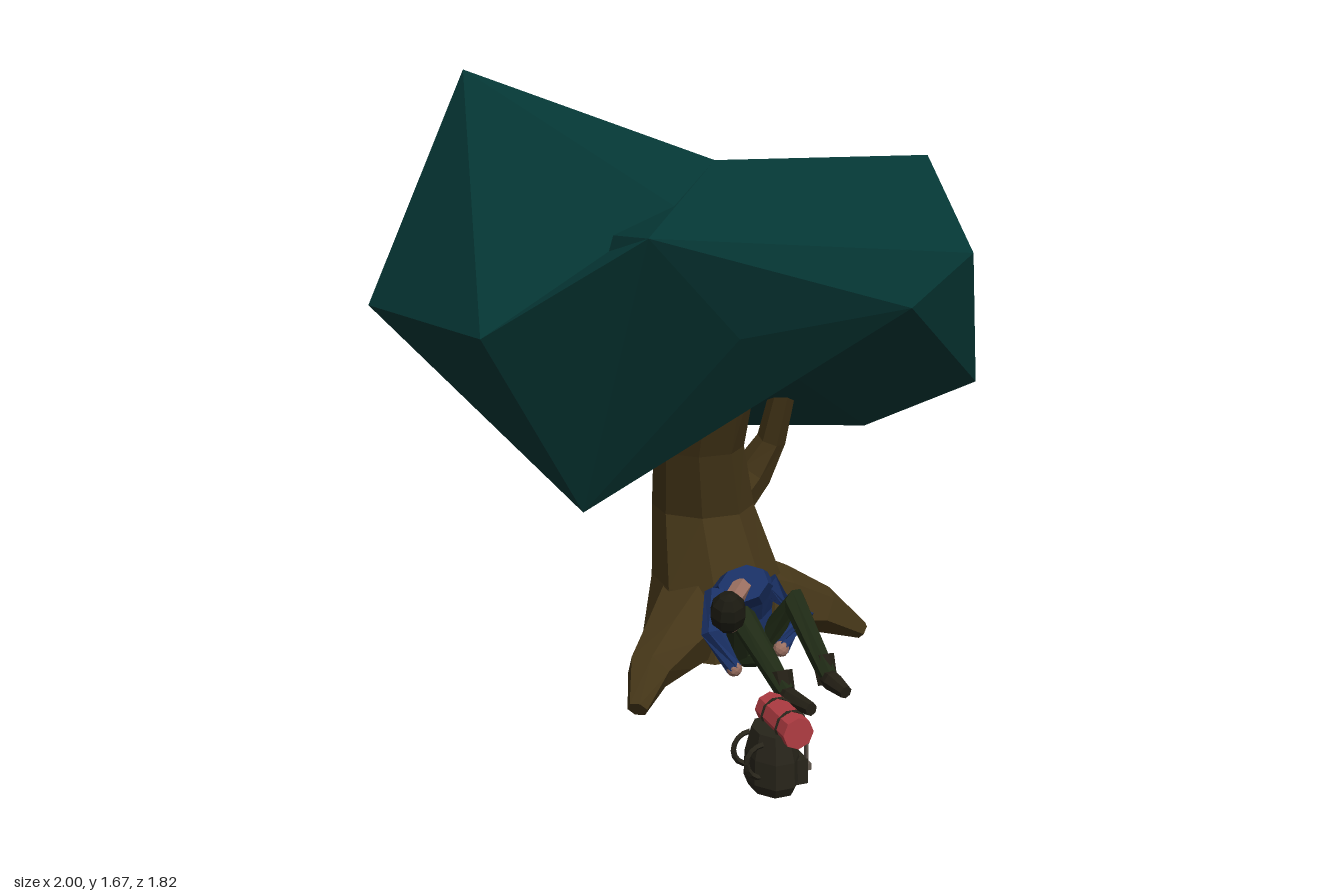
import * as THREE from 'three';
import { ConvexGeometry } from 'three/addons/geometries/ConvexGeometry.js';

const paint = (name, color) => {
  const m = new THREE.MeshStandardMaterial({ color, flatShading: true });
  m.name = name;
  return m;
};
const V = (p) => new THREE.Vector3(p[0], p[1], p[2]);

export function createModel() {
  const leaf = paint('leaf teal', 0x053735);
  const bark = paint('bark brown', 0x453618);
  const blue = paint('jacket blue', 0x1a3166);
  const green = paint('trouser green', 0x1f2a15);
  const hair = paint('hair dark', 0x1b1a11);
  const skin = paint('skin', 0x9a6f60);
  const boot = paint('boot brown', 0x231f15);
  const canvas = paint('pack canvas', 0x27241a);
  const red = paint('bedroll red', 0xb03c42);
  const strap = paint('strap grey', 0x5e554c);

  const model = new THREE.Group();
  model.name = 'sleeperUnderTree';
  const group = (name) => {
    const g = new THREE.Group();
    g.name = name;
    model.add(g);
    return g;
  };
  const add = (parent, name, geo, mat, pos = [0, 0, 0], rot = [0, 0, 0], scale = [1, 1, 1]) => {
    const m = new THREE.Mesh(geo, mat);
    m.name = name;
    m.position.set(...pos);
    m.rotation.set(...rot);
    m.scale.set(...scale);
    parent.add(m);
  };
  const hull = (parent, name, pts, mat) => add(parent, name, new ConvexGeometry(pts.map(V)), mat);

  // Rings [x, y, z, rx, rz] joined into a capped body; level rings stay horizontal
  const sweep = (path, sides, level = false) => {
    const up = new THREE.Vector3(0, 1, 0);
    const rings = path.map((p, i) => {
      const dir = V(path[Math.min(i + 1, path.length - 1)]).sub(V(path[Math.max(i - 1, 0)])).normalize();
      const q = new THREE.Quaternion();
      if (!level) q.setFromUnitVectors(up, dir);
      return Array.from({ length: sides }, (_, j) => {
        const a = (j + 0.5) / sides * Math.PI * 2;
        return new THREE.Vector3(Math.cos(a) * p[3], 0, Math.sin(a) * (p[4] ?? p[3])).applyQuaternion(q).add(V(p));
      });
    });
    const out = [];
    const tri = (...t) => t.forEach((v) => out.push(v.x, v.y, v.z));
    const last = path.length - 1;
    for (let j = 0; j < sides; j++) {
      const k = (j + 1) % sides;
      for (let i = 0; i < last; i++) {
        const [a, b] = [rings[i], rings[i + 1]];
        tri(a[k], a[j], b[j]);
        tri(a[k], b[j], b[k]);
      }
      tri(V(path[0]), rings[0][j], rings[0][k]);
      tri(V(path[last]), rings[last][k], rings[last][j]);
    }
    const geo = new THREE.BufferGeometry();
    geo.setAttribute('position', new THREE.Float32BufferAttribute(out, 3));
    geo.computeVertexNormals();
    return geo;
  };

  // Canopy: four faceted masses sharing their corner points
  const canopy = group('canopy');
  const tip = [-0.5, 1.33, 0.745];
  const leftShoulder = [-0.82, 1.09, 0.51];
  const leftBottom = [-0.55, 0.62, 0.39];
  const innerBottom = [-0.26, 0.64, 0.05];
  const brow = [-0.2, 1.05, 0.54];
  const rightBrow = [0.36, 1.06, 0.36];
  const crown = [-0.1, 1.44, 0.13];
  const backNotch = [-0.15, 1.32, -0.42];
  const backLeft = [-0.57, 1.02, -0.53];
  const backLeftTop = [-0.49, 1.22, -0.49];
  const backLow = [-0.25, 0.88, -0.77];
  const backBottom = [-0.12, 0.54, -0.76];
  hull(canopy, 'tallFoliage', [
    [-0.78, 1.68, 0.26], [-1, 1.12, 0.13], leftShoulder, [-0.31, 1.34, 0.53], leftBottom, innerBottom,
    [-0.62, 1.02, -0.34], backLeft, [-0.38, 1.49, -0.23], backNotch, crown,
  ], leaf);
  hull(canopy, 'frontFoliage', [
    tip, leftShoulder, leftBottom, innerBottom, brow, rightBrow, crown, [-0.5, 1, 0],
  ], leaf);
  hull(canopy, 'backFoliage', [
    innerBottom, backBottom, backLeft, backLow, [-0.62, 1.02, -0.34], backNotch, backLeftTop, [0, 1.05, 0],
  ], leaf);
  hull(canopy, 'broadFoliage', [
    tip, brow, rightBrow, crown, backNotch, backLeft, backLeftTop, [0.05, 0.9, 0.22],
    [0.67, 1.16, 0.14], [0.84, 0.73, -0.11], [1, 1.02, -0.42], [0.89, 1.2, -0.35],
    [0.74, 1.4, -0.26], [0.69, 1.2, -0.7], [0.17, 1.2, -0.72], [0.77, 1.12, -0.78], [0.86, 0.9, -0.78],
    [0.95, 0.87, -0.5], [0.4, 0.87, -0.91], [-0.11, 0.92, -0.87], backLow,
    backBottom, [0.47, 0.6, -0.67], [0.54, 0.59, -0.25],
  ], leaf);

  // Trunk leaning forward into the leaves
  const tree = group('tree');
  add(tree, 'trunk', sweep([
    [-0.01, 0.05, -0.08, 0.22, 0.205], [-0.01, 0.24, -0.09, 0.185, 0.185], [-0.033, 0.44, -0.135, 0.145, 0.15],
    [-0.068, 0.63, -0.075, 0.125, 0.135], [-0.078, 0.92, 0.08, 0.125, 0.1],
  ], 8, true), bark);
  add(tree, 'sideBranch', sweep([
    [0, 0.38, -0.13, 0.07], [0.12, 0.52, -0.13, 0.058], [0.165, 0.62, -0.1, 0.042], [0.18, 0.8, -0.04, 0.035],
  ], 6), bark);
  add(tree, 'backBranch', sweep([
    [-0.03, 0.5, -0.16, 0.07], [-0.02, 0.65, -0.14, 0.05], [0, 0.82, -0.08, 0.04],
  ], 6), bark);
  // Roots spreading to both sides
  const roots = [
    ['rightRoot', [0.04, 0.17, -0.08, 0.14], [0.18, 0.145, -0.05, 0.105], [0.3, 0.11, -0.03, 0.068], [0.42, 0.035, -0.01, 0.025]],
    ['leftRoot', [-0.06, 0.16, -0.06, 0.14], [-0.22, 0.125, 0.1, 0.09], [-0.32, 0.1, 0.2, 0.062], [-0.38, 0.035, 0.28, 0.028]],
  ];
  for (const [name, ...path] of roots) add(tree, name, sweep(path, 6), bark);

  // Figure asleep against the trunk, head on its arms
  const sleeper = group('sleeper');
  add(sleeper, 'hips', new THREE.SphereGeometry(0.07, 8, 6), green, [0, 0.1, 0.14], [0, 0, 0], [1.15, 0.75, 1]);
  add(sleeper, 'torso', sweep([
    [0, 0.1, 0.13, 0.07, 0.055], [-0.02, 0.2, 0.13, 0.085, 0.06],
    [-0.04, 0.28, 0.17, 0.095, 0.065], [-0.06, 0.32, 0.23, 0.07, 0.05],
  ], 8), blue);
  add(sleeper, 'neck', sweep([[-0.06, 0.31, 0.22, 0.028], [-0.11, 0.29, 0.27, 0.026]], 6), skin);
  add(sleeper, 'face', new THREE.SphereGeometry(0.034, 8, 6), skin, [-0.122, 0.243, 0.28]);
  add(sleeper, 'hair', new THREE.SphereGeometry(0.05, 8, 6), hair, [-0.13, 0.272, 0.293], [0.3, 0, 0.1], [1, 1.2, 1]);
  // Arms with hands
  const arms = [
    ['left', [0.03, 0.29, 0.18], [0.12, 0.2, 0.22], [0.02, 0.15, 0.3]],
    ['right', [-0.12, 0.29, 0.2], [-0.165, 0.21, 0.27], [-0.12, 0.12, 0.31]],
  ];
  for (const [side, shoulder, elbow, hand] of arms) {
    add(sleeper, side + 'Sleeve', sweep([[...shoulder, 0.038], [...elbow, 0.032], [...hand, 0.022]], 7), blue);
    add(sleeper, side + 'Hand', new THREE.IcosahedronGeometry(0.022, 1), skin, hand);
  }
  // Bent legs with boots
  const legs = [
    ['left', [0.05, 0.1, 0.14], [0.09, 0.25, 0.23], [0.13, 0.08, 0.36], [0.14, 0.065, 0.45]],
    ['right', [-0.04, 0.1, 0.15], [-0.07, 0.23, 0.25], [-0.02, 0.08, 0.42], [0, 0.075, 0.535]],
  ];
  for (const [side, hip, knee, ankle, toe] of legs) {
    const [x, , z] = ankle;
    add(sleeper, side + 'Trouser', sweep([[...hip, 0.045], [...knee, 0.038], [...ankle, 0.026]], 7), green);
    add(sleeper, side + 'BootShaft', sweep([[x, 0.125, z - 0.035, 0.032], [x, 0.055, z, 0.028]], 7), boot);
    add(sleeper, side + 'Boot', sweep([[x, 0.072, z - 0.02, 0.024], [x, 0.075, z + 0.03, 0.027], [...toe, 0.018]], 7), boot);
  }

  // Backpack with a bedroll on top
  const pack = group('backpack');
  add(pack, 'packBody', sweep([
    [-0.24, 0.045, 0.83, 0.052, 0.07], [-0.24, 0.07, 0.83, 0.062, 0.085],
    [-0.24, 0.13, 0.83, 0.06, 0.083], [-0.24, 0.19, 0.83, 0.045, 0.065],
  ], 8, true), canvas);
  add(pack, 'packPocket', new THREE.BoxGeometry(0.03, 0.06, 0.1), canvas, [-0.185, 0.09, 0.83]);
  add(pack, 'bedroll', new THREE.CylinderGeometry(0.038, 0.038, 0.165, 8), red, [-0.21, 0.203, 0.83], [Math.PI / 2, 0, 0]);
  for (const dz of [-0.04, 0.04]) {
    add(pack, 'rollStrap', new THREE.TorusGeometry(0.038, 0.004, 4, 10), canvas, [-0.21, 0.203, 0.83 + dz]);
    add(pack, 'frontStrap', new THREE.BoxGeometry(0.006, 0.08, 0.012), strap, [-0.17, 0.13, 0.83 + dz]);
    add(pack, 'buckle', new THREE.BoxGeometry(0.009, 0.016, 0.02), strap, [-0.166, 0.1, 0.83 + dz]);
    add(pack, 'shoulderStrap', new THREE.TorusGeometry(0.04, 0.007, 4, 8, Math.PI), canvas,
      [-0.28, 0.13, 0.83 + dz], [0, 0, Math.PI / 2]);
  }
  return model;
}
